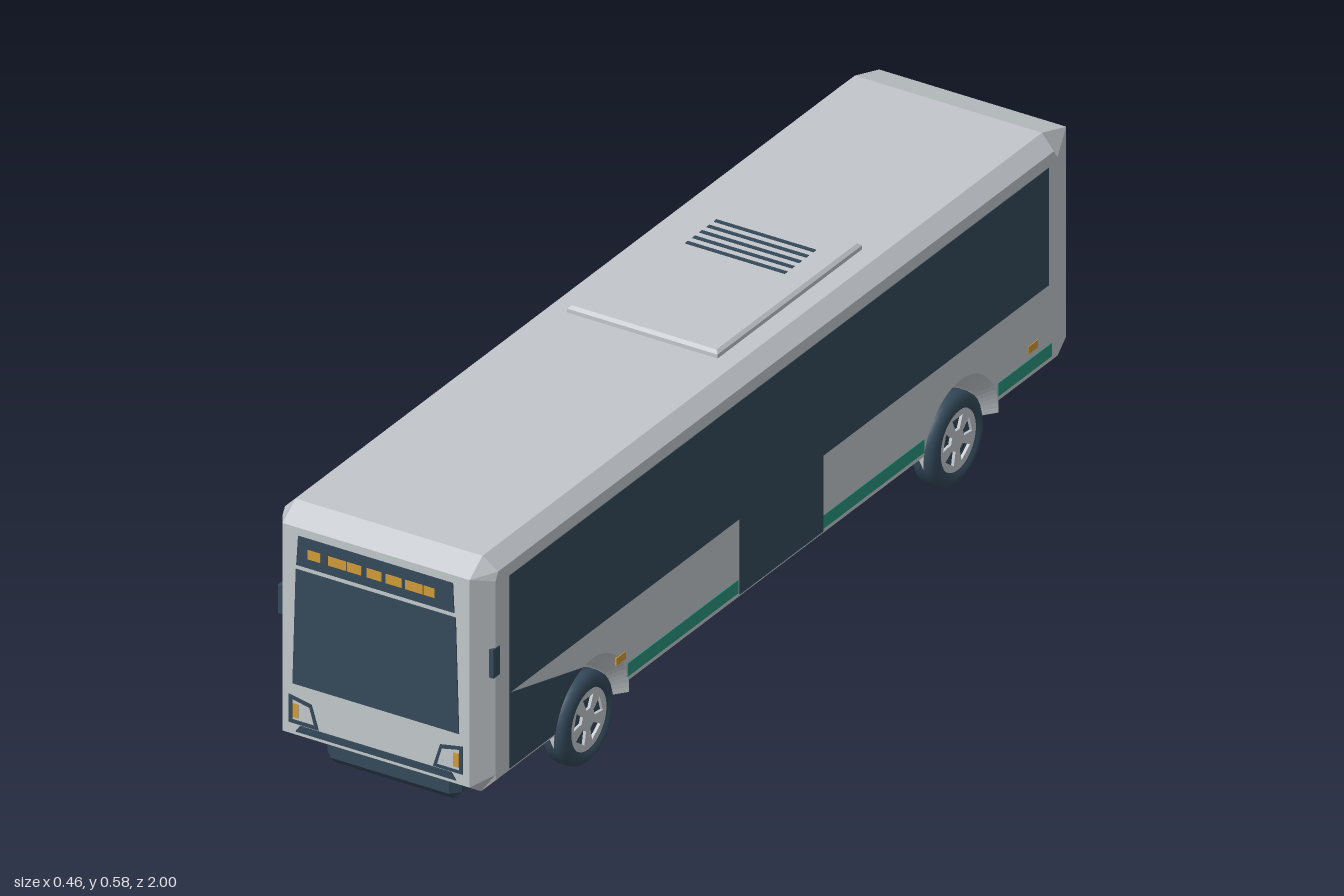
import * as THREE from 'three';
import { ConvexGeometry } from 'three/addons/geometries/ConvexGeometry.js';

const paint = (name, color) => {
  const m = new THREE.MeshStandardMaterial({ color });
  m.name = name;
  return m;
};

export function createModel() {
  const bus = new THREE.Group();
  bus.name = 'bus';
  const silver = paint('silver', 0xc2c7cb);
  const slate = paint('slate', 0x34495a);
  const amber = paint('amber', 0xcf9b38);
  const green = paint('green', 0x2a947c);

  const add = (name, geo, mat, parent = bus) => {
    const mesh = new THREE.Mesh(geo, mat);
    mesh.name = name;
    parent.add(mesh);
    return mesh;
  };
  const poly = (pts) => new THREE.Shape(pts.map(([x, y]) => new THREE.Vector2(x, y)));
  const rect = (x0, x1, y0, y1) => poly([[x0, y0], [x1, y0], [x1, y1], [x0, y1]]);
  const T = 0.003; // thickness of painted plates
  const thin = (shape) => new THREE.ExtrudeGeometry(shape, { depth: T, bevelEnabled: false, curveSegments: 16 });

  // Plate on the front (s = 1) or rear (s = -1); shape is drawn in x, y
  const endPlate = (name, shape, mat, s) =>
    add(name, thin(shape).translate(0, 0, s > 0 ? 1 - T : -1), mat);
  // Plate on the left (s = 1) or right (s = -1) flank; shape is drawn in z, y
  const sidePlate = (name, shape, mat, s) =>
    add(name, thin(shape).rotateY(-Math.PI / 2).translate(s > 0 ? 0.2285 : -0.2255, 0, 0), mat);

  // Body: side outline with wheel arches, extruded across with a chamfer
  const axles = [-0.602, 0.634];
  const archR = 0.098, b = 0.028, axleY = 0.09, base = 0.088, end = 0.998;
  const outline = new THREE.Shape();
  outline.moveTo(-0.955, base);
  for (const z of axles) {
    outline.lineTo(z - archR, base);
    outline.absarc(z, axleY, archR, Math.PI, 0, true);
    outline.lineTo(z + archR, base);
  }
  for (const [z, y] of [[0.96, base], [end, 0.113], [end, 0.538], [0.955, 0.568],
    [-0.917, 0.568], [-end, 0.543], [-end, 0.113]]) outline.lineTo(z, y);
  const bodyGeo = new THREE.ExtrudeGeometry(outline, {
    depth: 0.398, bevelSize: b, bevelOffset: -b, bevelThickness: b, bevelSegments: 1, curveSegments: 18,
  });
  bodyGeo.translate(0, 0, -0.199).rotateY(-Math.PI / 2);
  // Pull the flank ends in, so the upright corners are cut deeper, most at the rear
  const p = bodyGeo.attributes.position;
  for (let i = 0; i < p.count; i++) {
    if (Math.abs(p.getX(i)) > 0.21) p.setZ(i, THREE.MathUtils.clamp(p.getZ(i), -0.925, 0.955));
  }
  bodyGeo.computeVertexNormals();
  add('body', bodyGeo, silver);

  // Inner walls of the wheel wells
  for (const z of axles) {
    const half = new THREE.Shape();
    half.absarc(z, axleY, archR + 0.002, 0, Math.PI, false);
    half.closePath();
    const geo = new THREE.ExtrudeGeometry(half, { depth: 0.33, bevelEnabled: false, curveSegments: 18 });
    add('wheelWell', geo.translate(0, 0, -0.165).rotateY(-Math.PI / 2), silver);
  }

  // Underbody
  const hull = [];
  for (const sx of [-1, 1]) for (const sz of [-1, 1]) {
    for (const y of [0.1, 0.058]) {
      hull.push(new THREE.Vector3(sx * 0.143, y, sz * 0.935), new THREE.Vector3(sx * 0.126, y, sz * 0.953));
    }
    hull.push(new THREE.Vector3(sx * 0.126, 0.04, sz * 0.935));
  }
  add('underbody', new ConvexGeometry(hull), slate);

  // Roof unit with vent slits
  const unit = new THREE.ExtrudeGeometry(rect(-0.16, 0.16, -0.107, 0.376), {
    depth: 0.016, bevelSize: 0.006, bevelOffset: -0.006, bevelThickness: 0.006, bevelSegments: 1,
  });
  add('roofUnit', unit.rotateX(-Math.PI / 2).translate(0, 0.56, 0), silver);
  for (let i = 0; i < 5; i++) {
    add('roofVent', new THREE.BoxGeometry(0.212, 0.004, 0.009).translate(0, 0.5815, -0.303 + i * 0.024), slate);
  }

  // Flanks
  for (const s of [1, -1]) {
    sidePlate('sideWindow', rect(-0.895, 0.91, 0.275, 0.515), slate, s);
    for (const [z0, z1] of [[-0.905, -0.725], [-0.478, -0.14], [0.145, 0.515]]) {
      sidePlate('stripe', rect(z0, z1, 0.125, 0.152), green, s);
    }
    for (const z of [-0.842, 0.537]) sidePlate('markerLamp', rect(z - 0.016, z + 0.016, 0.165, 0.18), amber, s);
    add('sideMirror', new THREE.BoxGeometry(0.011, 0.058, 0.022).translate(s * 0.224, 0.359, 0.955), slate);
  }

  // Doors on the left flank; the front one follows the wheel arch
  sidePlate('middleDoor', rect(-0.14, 0.14, 0.12, 0.275), slate, 1);
  const door = new THREE.Shape();
  const r = archR + b + 0.001;
  door.moveTo(0.665, 0.275);
  door.absarc(axles[1], axleY, r, Math.acos(0.031 / r), Math.asin(0.03 / r), true);
  door.lineTo(0.91, 0.12);
  door.lineTo(0.91, 0.275);
  sidePlate('frontDoor', door, slate, 1);

  // Front glass and destination display
  endPlate('windshield', poly([[-0.177, 0.217], [0.177, 0.217], [0.17, 0.453], [-0.17, 0.453]]), slate, 1);
  endPlate('displayPanel', poly([[-0.169, 0.462], [0.167, 0.462], [0.164, 0.522], [-0.165, 0.522]]), slate, 1);
  for (const [x0, x1] of [[-0.144, -0.117], [-0.101, -0.062], [-0.06, -0.03], [-0.019, 0.013],
    [0.022, 0.056], [0.063, 0.101], [0.103, 0.126]]) {
    endPlate('displayBlock', rect(x0, x1, 0.481, 0.5), amber, 1).position.z = 0.001;
  }

  // Rear window and grille
  endPlate('rearWindow', rect(-0.18, 0.18, 0.318, 0.51), slate, -1);
  for (let i = 0; i < 5; i++) {
    const y = 0.18 + i * 0.02;
    endPlate('rearVent', rect(-0.135, 0.135, y, y + 0.008), slate, -1);
  }

  // Lamp frames, lamps and bumper strips at both ends
  for (const e of [1, -1]) {
    endPlate('bumperStrip', poly([[-0.171, 0.12], [0.171, 0.12], [0.161, 0.134], [-0.161, 0.134]]), slate, e);
    for (const s of [1, -1]) {
      const flip = (pts) => pts.map(([x, y]) => [x * s, y]);
      const inner = flip([[0.178, 0.143], [0.131, 0.143], [0.141, 0.177], [0.178, 0.185]]);
      const frame = poly(flip([[0.185, 0.136], [0.122, 0.136], [0.137, 0.184], [0.185, 0.193]]));
      frame.holes.push(poly(inner));
      endPlate('lampFrame', frame, slate, e);
      if (e > 0) endPlate('indicator', poly(flip([[0.165, 0.148], [0.177, 0.148], [0.177, 0.176], [0.165, 0.176]])), amber, e);
      else endPlate('rearLamp', poly(inner), amber, e);
    }
  }

  // Wheels: lathed tyre with a five-spoke rim
  const tyre = new THREE.LatheGeometry([[0.001, -0.026], [0.078, -0.026], [0.088, -0.018], [0.09, -0.01],
    [0.09, 0.01], [0.088, 0.018], [0.078, 0.026], [0.063, 0.026], [0.06, 0.016], [0.001, 0.016]]
    .map(([x, y]) => new THREE.Vector2(x, y)), 32).rotateZ(-Math.PI / 2);
  const disc = new THREE.Shape().absarc(0, 0, 0.061, 0, Math.PI * 2, false);
  for (let i = 0; i < 5; i++) {
    const a = Math.PI / 2 + (i * Math.PI * 2) / 5;
    const at = (rad, da) => [rad * Math.cos(a + da), rad * Math.sin(a + da)];
    disc.holes.push(poly([at(0.022, -0.3), at(0.049, -0.36), at(0.049, 0.36), at(0.022, 0.3)]));
  }
  const rim = new THREE.ExtrudeGeometry(disc, { depth: 0.007, bevelEnabled: false, curveSegments: 32 });
  rim.translate(0, 0, 0.015).rotateY(Math.PI / 2);
  for (const z of axles) for (const s of [1, -1]) {
    const wheel = new THREE.Group();
    wheel.name = 'wheel';
    wheel.position.set(s * 0.198, axleY, z);
    if (s < 0) wheel.rotation.y = Math.PI;
    add('tyre', tyre, slate, wheel);
    add('rim', rim, silver, wheel);
    bus.add(wheel);
  }
  return bus;
}
